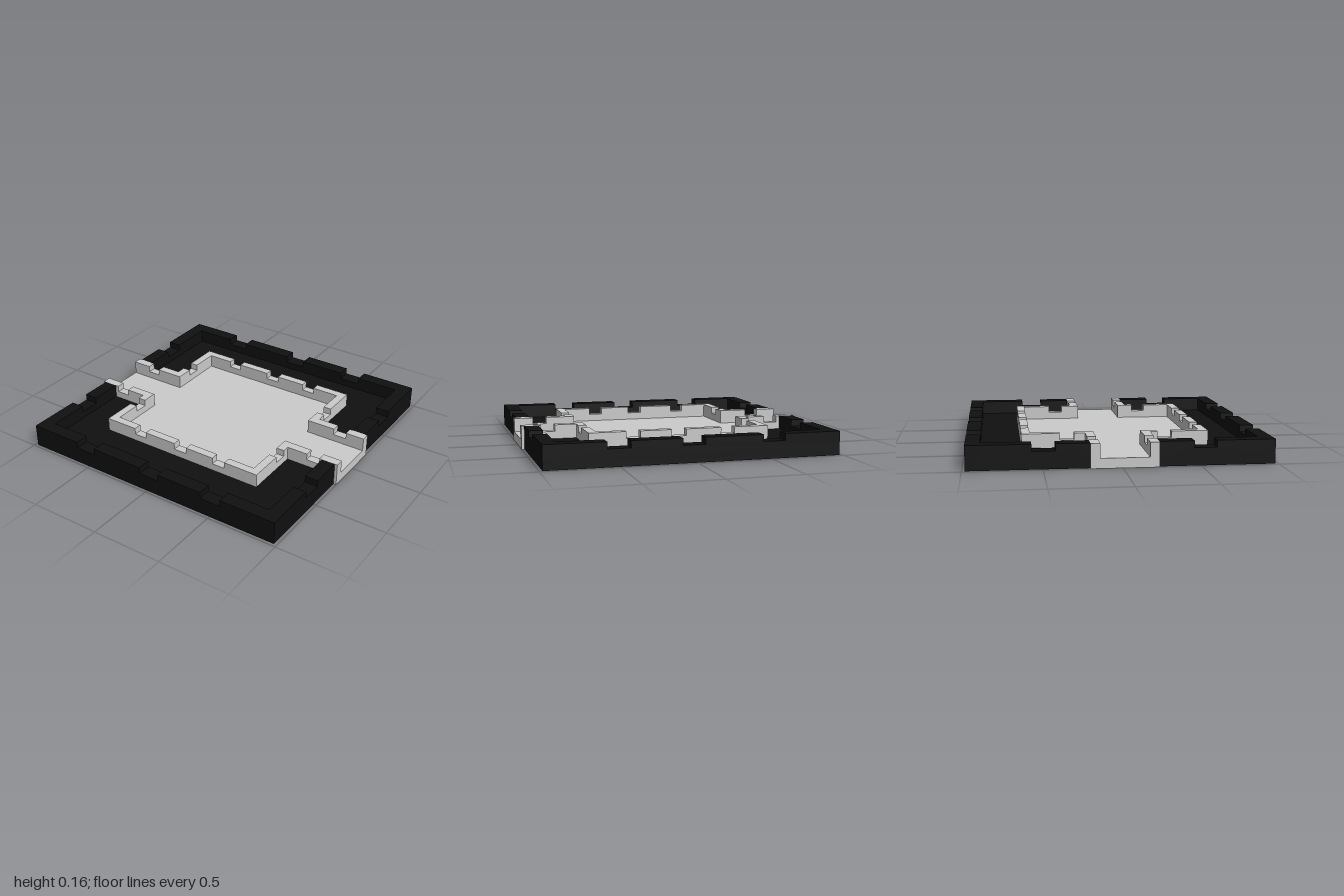
import * as THREE from 'three';

const FLOOR = 0.065, SILL = 0.115, TOP = 0.16;
const ARM_BACK = -0.205, ARM_FRONT = 0.23; // outer faces of the passage walls

const stone = new THREE.MeshStandardMaterial({ color: 0xcccccc, flatShading: true });
const dark = new THREE.MeshStandardMaterial({ color: 0x101010, flatShading: true });

// Wall with notches, running along x or z from a to b, between c0 and c1 on the other axis
function wall(name, material, axis, a, b, c0, c1, notches) {
  const s = new THREE.Shape();
  s.moveTo(a, FLOOR);
  s.lineTo(b, FLOOR);
  s.lineTo(b, TOP);
  for (const [n0, n1] of [...notches].reverse()) {
    s.lineTo(n1, TOP);
    s.lineTo(n1, SILL);
    s.lineTo(n0, SILL);
    s.lineTo(n0, TOP);
  }
  s.lineTo(a, TOP);
  const g = new THREE.ExtrudeGeometry(s, { depth: c1 - c0, bevelEnabled: false });
  if (axis === 'x') {
    g.translate(0, 0, c0);
  } else {
    // shape x becomes z, depth runs towards -x
    g.rotateY(-Math.PI / 2);
    g.translate(c1, 0, 0);
  }
  const m = new THREE.Mesh(g, material);
  m.name = name;
  return m;
}

// Flat slab from an outline of [x, z] points
function slab(name, material, outline) {
  const s = new THREE.Shape(outline.map(([x, z]) => new THREE.Vector2(x, -z)));
  const g = new THREE.ExtrudeGeometry(s, { depth: FLOOR, bevelEnabled: false });
  g.rotateX(-Math.PI / 2);
  const m = new THREE.Mesh(g, material);
  m.name = name;
  return m;
}

export function createModel() {
  const model = new THREE.Group();
  model.name = 'walledCourt';
  const court = new THREE.Group();
  court.name = 'court';
  const surround = new THREE.Group();
  surround.name = 'surround';
  model.add(court, surround);

  const R = 0.622, r = 0.565; // court wall, outer and inner
  const E = 0.98, e = 0.885; // surround wall, outer and inner

  // Cross-shaped court floor with passages to both sides
  court.add(slab('courtFloor', stone, [
    [-1, ARM_BACK], [-R, ARM_BACK], [-R, -R], [R, -R], [R, ARM_BACK], [1, ARM_BACK],
    [1, ARM_FRONT], [R, ARM_FRONT], [R, R], [-R, R], [-R, ARM_FRONT], [-1, ARM_FRONT],
  ]));

  const courtNotches = [[-0.38, -0.285], [-0.04, 0.06], [0.275, 0.37]];
  const outerNotches = [[-0.595, -0.445], [-0.055, 0.095], [0.43, 0.58]];

  // Front and back halves
  for (const s of [-1, 1]) {
    const end = s < 0 ? 'back' : 'front';
    const arm = s < 0 ? ARM_BACK : ARM_FRONT;
    const span = (p, q) => [Math.min(p, q), Math.max(p, q)];

    court.add(wall(end + 'CourtWall', stone, 'x', -R, R, ...span(s * r, s * R), courtNotches));
    surround.add(wall(end + 'OuterWall', dark, 'x', -E, E, ...span(s * e, s * E), outerNotches));
    surround.add(slab(end + 'OuterFloor', dark, [
      [-E, arm], [-R, arm], [-R, s * R], [R, s * R], [R, arm], [E, arm], [E, s * E], [-E, s * E],
    ]));

    // Side walls and passage walls, left and right
    for (const t of [-1, 1]) {
      const side = end + (t < 0 ? 'Right' : 'Left');
      court.add(wall(side + 'CourtSideWall', stone, 'z', ...span(arm, s * r), ...span(t * r, t * R),
        [s < 0 ? [-0.37, -0.275] : [0.28, 0.375]]));
      court.add(wall(side + 'PassageWall', stone, 'x', ...span(t * r, t), ...span(arm - s * 0.06, arm),
        [t < 0 ? [-0.86, -0.765] : [0.77, 0.865]]));
      surround.add(wall(side + 'OuterSideWall', dark, 'z', ...span(arm, s * e), ...span(t * e, t * E),
        [s < 0 ? [-0.57, -0.42] : [0.455, 0.6]]));
    }
  }
  return model;
}
